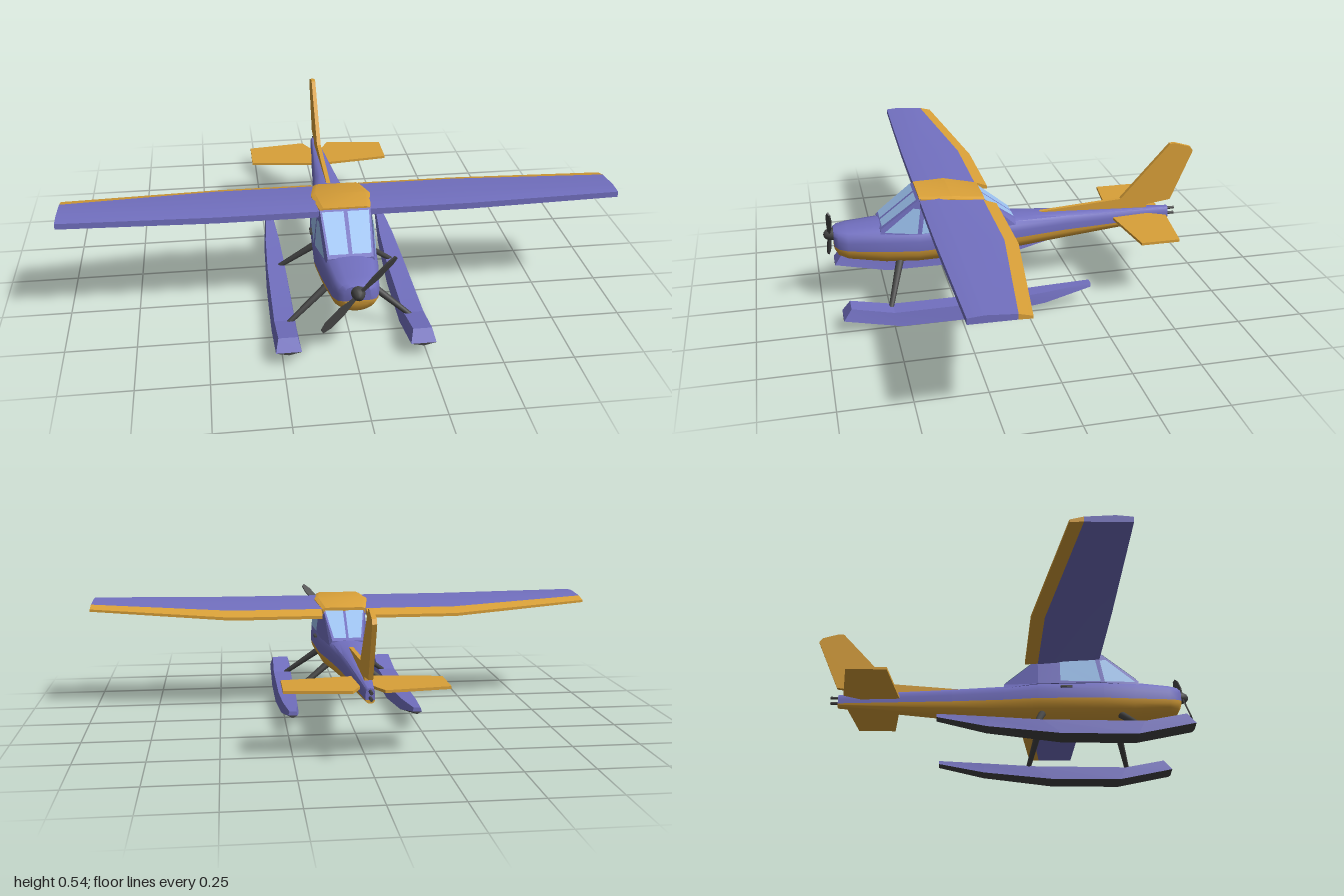
import * as THREE from 'three';
import { toCreasedNormals } from 'three/addons/utils/BufferGeometryUtils.js';

const material = (color, side = THREE.FrontSide) => {
  const m = new THREE.MeshStandardMaterial({ side });
  m.color.set(color);
  return m;
};
const purple = material(0x7270c0);
const orange = material(0xd9a038);
const dark = material(0x444444);
const glass = material(0x9cc2f0, THREE.DoubleSide);

// Skin equal-length rings of [x, y, z] points, closing both ends.
// Rings run counterclockwise as seen from the first end.
function loft(rings, crease = 0.5) {
  const n = rings[0].length, index = [];
  rings.forEach((_, r) => {
    if (r === rings.length - 1) return;
    for (let i = 0; i < n; i++) {
      const a = r * n + i, b = r * n + (i + 1) % n;
      index.push(a, a + n, b, b, a + n, b + n);
    }
  });
  const last = (rings.length - 1) * n;
  for (let i = 1; i < n - 1; i++) index.push(0, i, i + 1, last, last + i + 1, last + i);
  const g = new THREE.BufferGeometry();
  g.setAttribute('position', new THREE.Float32BufferAttribute(rings.flat(2), 3));
  g.setIndex(index);
  return toCreasedNormals(g, crease);
}

function plate(points, depth) {
  const shape = new THREE.Shape(points.map(p => new THREE.Vector2(...p)));
  return new THREE.ExtrudeGeometry(shape, { depth, bevelEnabled: false }).translate(0, 0, -depth / 2);
}

function rod(from, to, r0, r1) {
  const a = new THREE.Vector3(...from), b = new THREE.Vector3(...to);
  const d = b.clone().sub(a), up = new THREE.Vector3(0, 1, 0);
  const g = new THREE.CylinderGeometry(r1, r0, d.length(), 10);
  g.applyQuaternion(new THREE.Quaternion().setFromUnitVectors(up, d.normalize()));
  return g.translate(...a.add(b).multiplyScalar(0.5).toArray());
}

// Fuselage stations: z, belly, colour line, top, half width
const BODY = [
  [0.69, 0.235, 0.255, 0.31, 0.045], [0.675, 0.207, 0.25, 0.315, 0.065],
  [0.64, 0.19, 0.245, 0.318, 0.08], [0.5, 0.165, 0.237, 0.325, 0.1],
  [0.38, 0.158, 0.233, 0.325, 0.112], [0.13, 0.158, 0.233, 0.32, 0.1],
  [0, 0.168, 0.233, 0.305, 0.078], [-0.2, 0.184, 0.235, 0.297, 0.052],
  [-0.64, 0.222, 0.235, 0.275, 0.016],
];
// Cabin stations: z, lower y, upper y, lower half width, upper half width
const CABIN = [
  [0.52, 0.3, 0.32, 0.085, 0.08], [0.37, 0.3, 0.435, 0.107, 0.09],
  [0.13, 0.295, 0.405, 0.097, 0.082], [0, 0.285, 0.305, 0.07, 0.06],
];
// Float stations: deck z, y, half width; chine z, y, half width; keel y
const FLOAT = [
  [0.655, 0.103, 0.033, 0.685, 0.062, 0.044, 0.052], [0.5, 0.07, 0.036, 0.475, 0.016, 0.045, 0.004],
  [0.13, 0.07, 0.034, 0.2, 0.014, 0.043, 0.003], [-0.07, 0.082, 0.027, -0.07, 0.041, 0.033, 0.03],
  [-0.25, 0.095, 0.013, -0.25, 0.08, 0.018, 0.07],
];
// Wing section corners as [z, y] at root and tip: front low, hinge low, hinge high, crown, front high
const WING = [
  [[0.37, 0.405], [0.365, 0.415]], [[0.13, 0.384], [0.21, 0.413]], [[0.13, 0.41], [0.21, 0.432]],
  [[0.3, 0.434], [0.31, 0.44]], [[0.37, 0.428], [0.365, 0.436]],
];
const FLAP = [
  [[0.13, 0.384], [0.21, 0.413]], [[0.08, 0.379], [0.165, 0.411]],
  [[0.08, 0.391], [0.165, 0.42]], [[0.13, 0.41], [0.21, 0.432]],
];
const wingRing = (section, x) => {
  const t = Math.max(0, (Math.abs(x) - 0.45) / 0.55), lerp = THREE.MathUtils.lerp;
  return section.map(([root, tip]) => [x, lerp(root[1], tip[1], t), lerp(root[0], tip[0], t)]);
};

// Point on the cabin side wall, pushed slightly outwards
function cabinSide(z, y, s) {
  const i = z >= 0.37 ? 0 : 1, a = CABIN[i], b = CABIN[i + 1];
  const [, lo, hi, wLo, wHi] = a.map((v, k) => THREE.MathUtils.lerp(v, b[k], (a[0] - z) / (a[0] - b[0])));
  return [s * (THREE.MathUtils.mapLinear(y, lo, hi, wLo, wHi) + 0.005), y, z];
}

function pane(points) {
  const g = new THREE.BufferGeometry();
  g.setAttribute('position', new THREE.Float32BufferAttribute(points.flat(), 3));
  g.setIndex([0, 1, 2, 0, 2, 3]);
  g.computeVertexNormals();
  return g;
}

export function createModel() {
  const model = new THREE.Group();
  const add = (name, geometry, mat) => {
    const mesh = new THREE.Mesh(geometry, mat);
    mesh.name = name;
    model.add(mesh);
    return mesh;
  };

  // Fuselage: painted upper shell and rounded belly
  const upper = [[1, 0], [1, 0.4], [0.94, 0.68], [0.78, 0.88], [0.45, 0.98], [0, 1]];
  const over = [...upper, ...upper.slice(0, -1).reverse().map(([x, y]) => [-x, y])];
  add('upperFuselage', loft(BODY.map(([z, , mid, top, w]) =>
    over.map(([x, y]) => [x * w, mid + y * (top - mid), z])), 0.7), purple);
  add('belly', loft(BODY.map(([z, low, mid, , w]) => Array.from({ length: 13 }, (_, i) => {
    const a = Math.PI * (1 + i / 12);
    return [w * Math.cos(a), mid + (mid - low) * Math.sin(a), z];
  })), 0.7), orange);

  // Cabin
  add('cabin', loft(CABIN.map(([z, lo, hi, wl, wh]) =>
    [[wl, lo, z], [wh, hi, z], [-wh, hi, z], [-wl, lo, z]]), 0.2), purple);

  // Wing, centre roof panel
  add('wing', loft([1, 0.45, -0.45, -1].map(x => wingRing(WING, x)), 0.3), purple);
  add('roofPanel', loft([[0.372, 0.09, 0.44, 0.432], [0.25, 0.108, 0.437, 0.4], [0.125, 0.087, 0.415, 0.39]]
    .map(([z, w, hi, lo]) => [[w, lo, z], [w, hi - 0.006, z], [w * 0.85, hi, z],
      [-w * 0.85, hi, z], [-w, hi - 0.006, z], [-w, lo, z]]), 0.4), orange);

  for (const s of [1, -1]) {
    const side = s > 0 ? 'left' : 'right';
    const spans = s > 0 ? [1, 0.45, 0.09] : [-0.09, -0.45, -1];
    add(side + 'Flap', loft(spans.map(x => wingRing(FLAP, x)), 0.3), orange);

    // Side windows and door handle
    add(side + 'FrontSideWindow', pane([[0.505, 0.312], [0.385, 0.303], [0.37, 0.398], [0.395, 0.402]]
      .map(([z, y]) => cabinSide(z, y, s))), glass);
    add(side + 'RearSideWindow', pane([[0.369, 0.303], [0.215, 0.305], [0.215, 0.393], [0.352, 0.4]]
      .map(([z, y]) => cabinSide(z, y, s))), glass);
    add(side + 'DoorHandle', new THREE.BoxGeometry(0.012, 0.008, 0.045), dark)
      .position.set(s * 0.106, 0.28, 0.238);

    // Windshield and rear window halves
    add(side + 'Windshield', pane([[s * 0.007, 0.332, 0.513], [s * 0.073, 0.332, 0.513],
      [s * 0.083, 0.431, 0.383], [s * 0.007, 0.431, 0.383]]), glass);
    add(side + 'RearWindow', pane([[s * 0.005, 0.404, 0.121], [s * 0.076, 0.404, 0.121],
      [s * 0.053, 0.315, 0.005], [s * 0.005, 0.315, 0.005]]), glass);

    // Float with dark planing bottom
    const cx = s * 0.232;
    add(side + 'FloatHull', loft(FLOAT.map(([zt, yt, wt, zc, yc, wc]) =>
      [[cx + wc, yc, zc], [cx + wt, yt, zt], [cx - wt, yt, zt], [cx - wc, yc, zc]]), 0.2), purple);
    add(side + 'FloatBottom', loft(FLOAT.map(([, , , zc, yc, wc, yk]) =>
      [[cx + wc, yc, zc], [cx - wc, yc, zc], [cx, yk, zc]]), 0.2), dark);

    // Float struts
    add(side + 'FrontStrut', rod([s * 0.055, 0.19, 0.447], [s * 0.218, 0.065, 0.508], 0.015, 0.009), dark);
    add(side + 'RearStrut', rod([s * 0.055, 0.19, 0.148], [s * 0.218, 0.065, 0.107], 0.015, 0.009), dark);
  }

  // Tail fin with dorsal strake
  const fin = [[0.11, 0.303], [0.44, 0.325], [0.635, 0.54], [0.655, 0.542], [0.72, 0.522],
    [0.732, 0.505], [0.648, 0.305], [0.55, 0.292], [0.55, 0.27], [0.2, 0.28]];
  add('tailFin', plate(fin, 0.016).rotateY(Math.PI / 2), orange);

  // Horizontal stabilizer
  const half = [[0.02, -0.4], [0.285, -0.435], [0.285, -0.585], [0.055, -0.615], [0.012, -0.53]];
  const outline = [...half, ...half.map(([x, z]) => [-x, z]).reverse()];
  add('stabilizer', plate(outline, 0.01).rotateX(Math.PI / 2).translate(0, 0.255, 0), orange);

  // Tail lights
  for (const y of [0.242, 0.264])
    add('tailLight', new THREE.CylinderGeometry(0.006, 0.006, 0.05, 8).rotateX(Math.PI / 2), dark)
      .position.set(0, y, -0.645);

  // Spinner and two-blade propeller
  const cone = [[0.024, 0], [0.023, 0.015], [0.017, 0.03], [0.009, 0.037], [0, 0.039]];
  add('spinner', new THREE.LatheGeometry(cone.map(p => new THREE.Vector2(...p)), 16)
    .rotateX(Math.PI / 2), dark).position.set(0, 0.287, 0.688);
  const blade = [[-0.006, 0], [0.006, 0], [0.008, 0.04], [0.015, 0.08], [0.015, 0.15],
    [0.008, 0.18], [-0.006, 0.182], [-0.013, 0.15], [-0.013, 0.08], [-0.008, 0.04]];
  for (const turn of [0, Math.PI])
    add('propellerBlade', plate(blade, 0.006).rotateY(0.5).rotateZ(turn - 0.73), dark)
      .position.set(0, 0.287, 0.706);

  return model;
}
